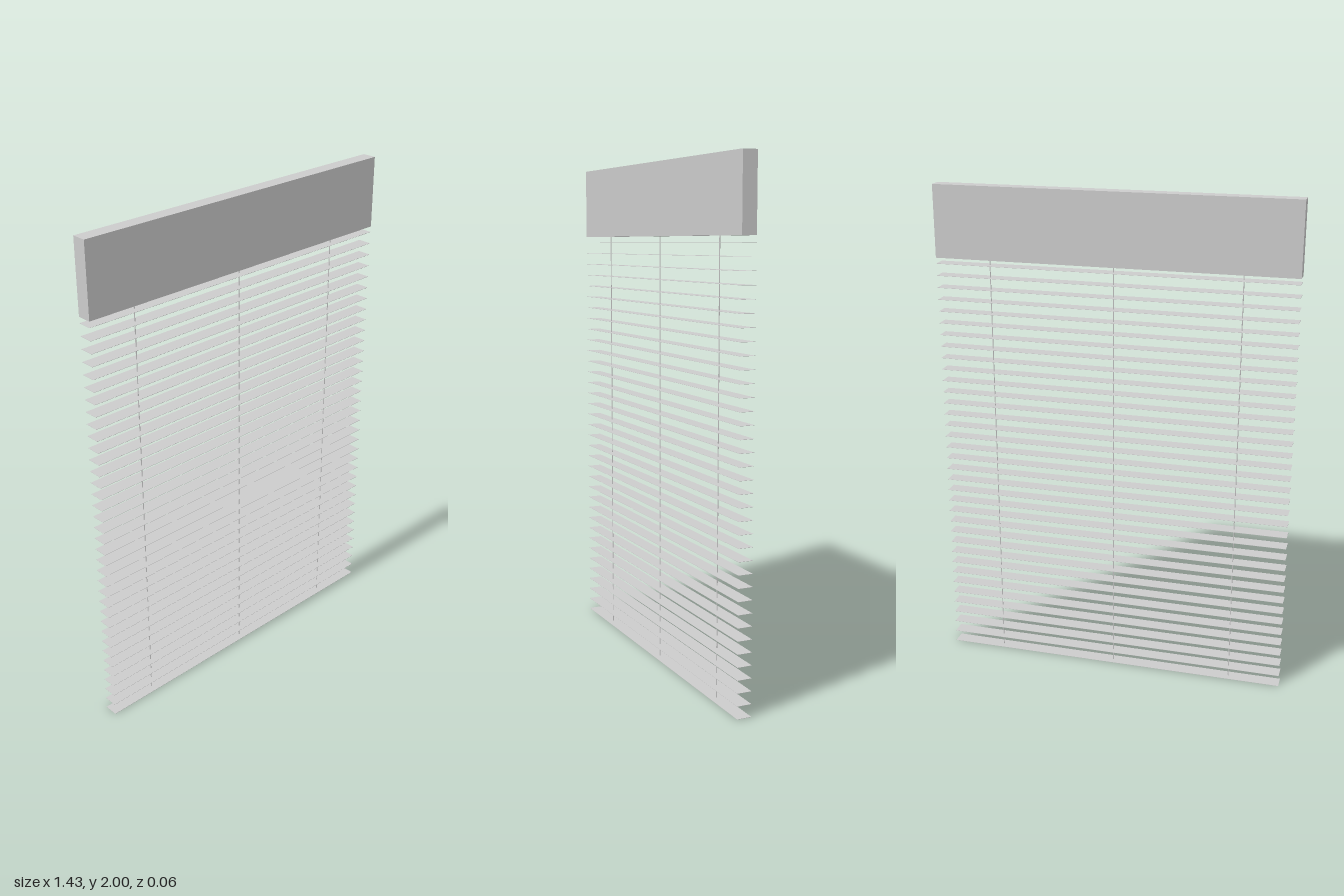
import * as THREE from 'three';

const WIDTH = 1.4286, DEPTH = 0.0572;
const HEAD_BOTTOM = 1.7143, HEAD_HEIGHT = 0.2857;
const SLATS = 36, PITCH = 0.0483, THICKNESS = 0.001;

export function createModel() {
  const model = new THREE.Group();
  model.name = 'venetianBlind';
  const grey = new THREE.MeshStandardMaterial({ color: 0xcccccc });

  const add = (name, geometry, x, y, parent = model) => {
    const mesh = new THREE.Mesh(geometry, grey);
    mesh.name = name;
    mesh.position.set(x, y, 0);
    parent.add(mesh);
  };

  // Head box at the top
  add('headBox', new THREE.BoxGeometry(WIDTH, HEAD_HEIGHT, DEPTH), 0, HEAD_BOTTOM + HEAD_HEIGHT / 2);

  // Stack of thin level slats, the lowest resting on the ground
  const slats = new THREE.Group();
  slats.name = 'slats';
  model.add(slats);
  const slatGeometry = new THREE.BoxGeometry(WIDTH, THICKNESS, DEPTH);
  for (let i = 0; i < SLATS; i++) {
    add(`slat${i + 1}`, slatGeometry, 0, THICKNESS / 2 + i * PITCH, slats);
  }

  // Three cords running through the middle of the slats
  const cordGeometry = new THREE.CylinderGeometry(0.002, 0.002, HEAD_BOTTOM, 8);
  [['rightCord', -0.5], ['middleCord', 0], ['leftCord', 0.5]].forEach(([name, x]) =>
    add(name, cordGeometry, x, HEAD_BOTTOM / 2));

  return model;
}
